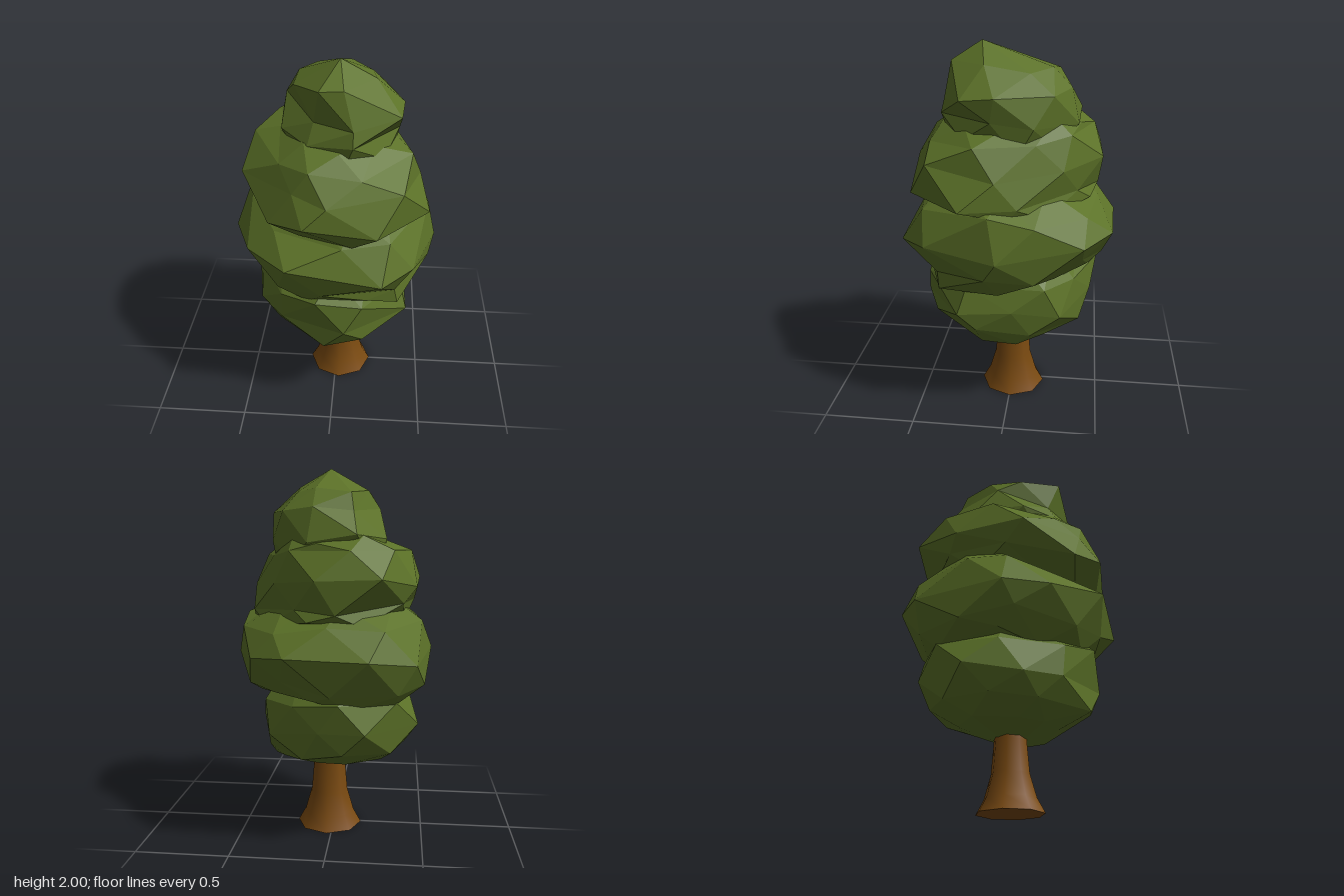
import * as THREE from 'three';

const leafMaterial = new THREE.MeshStandardMaterial({ color: 0x5c7228, flatShading: true, roughness: 1 });
const barkMaterial = new THREE.MeshStandardMaterial({ color: 0x7a4a10, roughness: 1 });

function seeded(seed) {
  let s = seed;
  return () => (s = (s * 16807) % 2147483647) / 2147483647;
}

// Uneven ring of points, stretched to fill x0..x1 and z0..z1
function makeRing([y, x0, x1, z0, z1], count, offset, wobble, rand) {
  const pts = [];
  for (let i = 0; i < count; i++) {
    const a = ((i + offset + (rand() - 0.5) * 0.45) / count) * Math.PI * 2;
    const r = (1 + 0.07 * Math.sin(2 * a)) * (1 - 0.13 * rand());
    pts.push(new THREE.Vector3(Math.cos(a) * r, y + (rand() - 0.5) * wobble, Math.sin(a) * r));
  }
  const box = new THREE.Box3().setFromPoints(pts);
  for (const p of pts) {
    p.x = THREE.MathUtils.mapLinear(p.x, box.min.x, box.max.x, x0, x1);
    p.z = THREE.MathUtils.mapLinear(p.z, box.min.z, box.max.z, z0, z1);
  }
  return pts;
}

// Faceted clump lofted through staggered rings and closed by two end points
function makeClump({ name, seed, count, bottom, rings, top }) {
  const rand = seeded(seed);
  const loops = rings.map((r, k) => makeRing(r, count, k * 0.5, 0.075, rand));
  const low = new THREE.Vector3(...bottom);
  const high = new THREE.Vector3(...top);
  const tris = [];
  for (let i = 0; i < count; i++) {
    const j = (i + 1) % count;
    tris.push(low, loops[0][i], loops[0][j]);
    for (let k = 0; k + 1 < loops.length; k++) {
      const a = loops[k], b = loops[k + 1];
      tris.push(a[i], b[i], a[j], a[j], b[i], b[j]);
    }
    const last = loops[loops.length - 1];
    tris.push(last[i], high, last[j]);
  }
  const geometry = new THREE.BufferGeometry().setFromPoints(tris);
  geometry.computeVertexNormals();
  const mesh = new THREE.Mesh(geometry, leafMaterial);
  mesh.name = name;
  return mesh;
}

// Each ring: height, x range, z range
const clumps = [
  {
    name: 'lowerFoliage', seed: 4217, count: 9, bottom: [0.1, 0.35, 0],
    rings: [
      [0.43, -0.27, 0.32, -0.27, 0.24],
      [0.51, -0.40, 0.39, -0.42, 0.43],
      [0.62, -0.47, 0.40, -0.45, 0.47],
      [0.79, -0.42, 0.36, -0.47, 0.465],
      [0.90, -0.30, 0.26, -0.35, 0.34],
    ],
    top: [0, 0.96, 0],
  },
  {
    name: 'middleFoliage', seed: 90533, count: 10, bottom: [0, 0.68, 0],
    rings: [
      [0.79, -0.43, 0.42, -0.42, 0.42],
      [0.88, -0.50, 0.51, -0.50, 0.50],
      [1.02, -0.54, 0.54, -0.56, 0.56],
      [1.18, -0.48, 0.49, -0.46, 0.48],
      [1.28, -0.34, 0.34, -0.34, 0.34],
    ],
    top: [0, 1.34, 0],
  },
  {
    name: 'upperFoliage', seed: 31873, count: 9, bottom: [0, 1.1, 0],
    rings: [
      [1.19, -0.38, 0.43, -0.42, 0.47],
      [1.27, -0.44, 0.49, -0.46, 0.53],
      [1.41, -0.47, 0.44, -0.48, 0.51],
      [1.53, -0.42, 0.39, -0.43, 0.43],
      [1.63, -0.28, 0.28, -0.36, 0.35],
    ],
    top: [0, 1.7, 0],
  },
  {
    name: 'crownFoliage', seed: 7741, count: 8, bottom: [0, 1.4, 0],
    rings: [
      [1.50, -0.27, 0.30, -0.32, 0.32],
      [1.61, -0.29, 0.32, -0.36, 0.36],
      [1.75, -0.25, 0.34, -0.31, 0.34],
      [1.88, -0.20, 0.20, -0.24, 0.31],
    ],
    top: [0.03, 2, 0.15],
  },
];

export function createModel() {
  const tree = new THREE.Group();
  tree.name = 'tree';

  // Flared trunk with a closed base
  const trunk = new THREE.Group();
  trunk.name = 'trunk';
  trunk.position.set(0.025, 0, -0.005);
  const profile = [[0.18, 0], [0.138, 0.075], [0.102, 0.2], [0.088, 0.37], [0.085, 0.48]]
    .map(([r, y]) => new THREE.Vector2(r, y));
  const stem = new THREE.Mesh(new THREE.LatheGeometry(profile, 8), barkMaterial);
  stem.name = 'trunkStem';
  const base = new THREE.Mesh(new THREE.CircleGeometry(0.18, 8).rotateX(Math.PI / 2), barkMaterial);
  base.name = 'trunkBase';
  trunk.add(stem, base);
  tree.add(trunk);

  // Four stacked foliage clumps
  for (const clump of clumps) tree.add(makeClump(clump));
  return tree;
}
